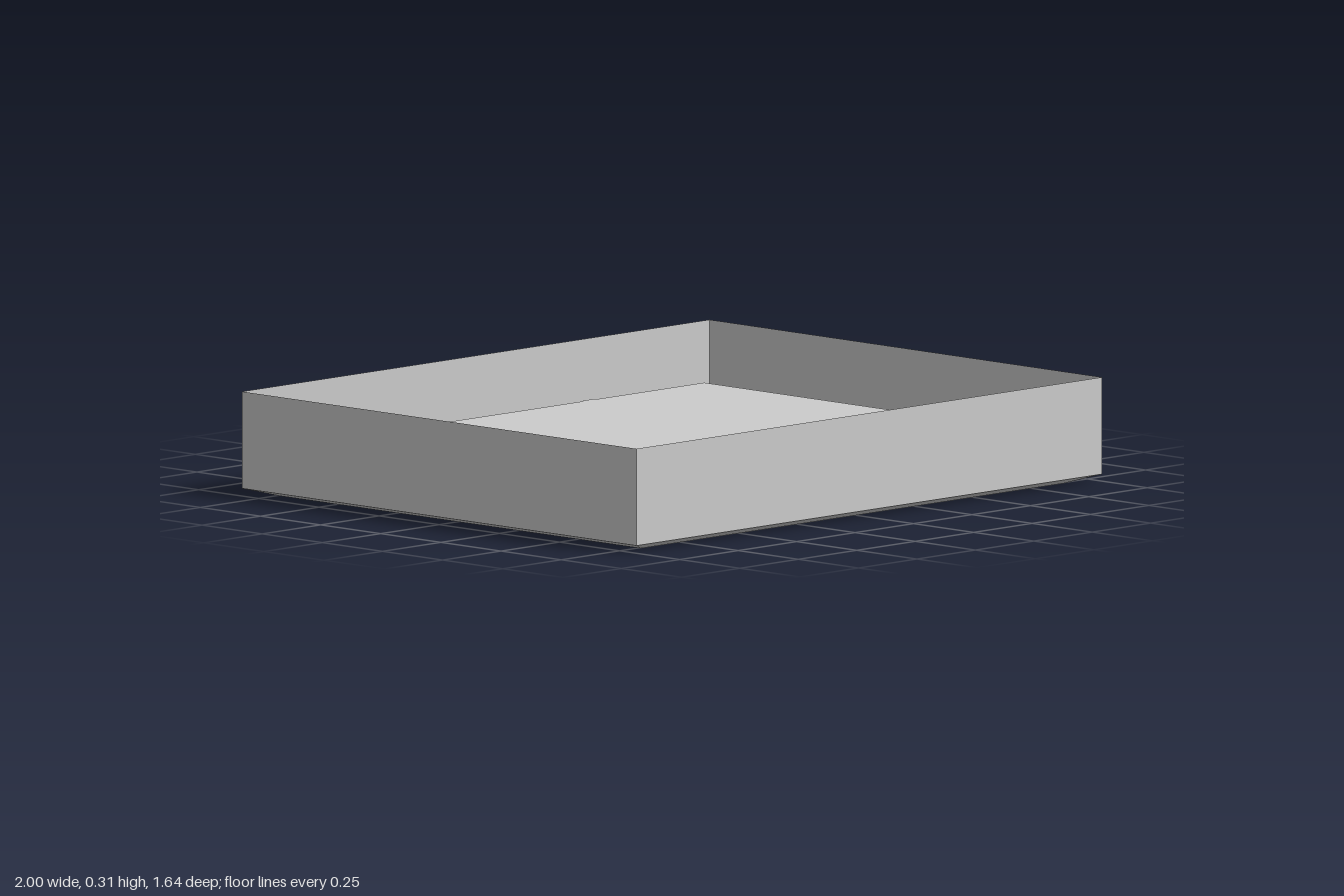
import * as THREE from 'three';

const FLOOR = 0.145, TIP = 0.07, CELL = 0.06;

// Four-cornered ring: [left, right at back, right at front, back, front, height]
const ring = ([x0, xb, xf, z0, z1, y]) => [
  [x0, y, z0], [xb, y, z0], [xf, y, z1], [x0, y, z1],
];

// Thin sheet joining consecutive rings, with an optional flat cap on the last ring
function sheet(name, specs, material, cap = false) {
  const rings = specs.map(ring), pos = [];
  const quad = (a, b, c, d) => pos.push(...a, ...b, ...c, ...a, ...c, ...d);
  for (let r = 0; r < rings.length - 1; r++) {
    for (let i = 0; i < 4; i++) {
      const j = (i + 1) % 4;
      quad(rings[r][i], rings[r][j], rings[r + 1][j], rings[r + 1][i]);
    }
  }
  if (cap) quad(...rings[rings.length - 1]);
  const geo = new THREE.BufferGeometry();
  geo.setAttribute('position', new THREE.Float32BufferAttribute(pos, 3));
  geo.computeVertexNormals();
  const mesh = new THREE.Mesh(geo, material);
  mesh.name = name;
  return mesh;
}

export function createModel() {
  const group = new THREE.Group();
  const material = new THREE.MeshStandardMaterial({
    color: 0xcccccc, flatShading: true, side: THREE.DoubleSide,
  });

  // Outer walls, shallow underside bevel and raised floor
  const top = [-1, 1, 0.992, -0.82, 0.82, 0.315];
  const base = [-1, 1, 0.992, -0.82, 0.82, 0.023];
  const mouth = [-0.92, 0.895, 0.888, -0.74, 0.76, 0];
  const inner = [-0.92, 0.895, 0.888, -0.74, 0.76, FLOOR];
  group.add(sheet('outerWalls', [top, base], material));
  group.add(sheet('undersideBevel', [base, mouth], material));
  group.add(sheet('recessedFloor', [mouth, inner], material, true));

  // Blocks hanging under the floor
  const blocks = new THREE.Group();
  blocks.name = 'undersideBlocks';
  const block = (x0, x1, z0, z1) => {
    const mesh = new THREE.Mesh(new THREE.BoxGeometry(x1 - x0, FLOOR - TIP, z1 - z0), material);
    mesh.position.set((x0 + x1) / 2, (FLOOR + TIP) / 2 - 0.0005, (z0 + z1) / 2);
    mesh.name = 'block';
    blocks.add(mesh);
  };

  // Long bars along z: [x of the left face, z start, z end]
  [
    [0.56, -0.57, -0.21], [-0.02, -0.56, -0.32], [-0.45, -0.57, -0.09],
    [-0.16, 0.04, 0.57], [0.13, -0.1, 0.16], [-0.62, 0.1, 0.5], [-0.81, -0.1, 0.29],
  ].forEach(([x, z0, z1]) => block(x - CELL, x, z0, z1));

  // Arms along x: [x start, x end, z centre]
  [
    [0.56, 0.78, -0.24], [-0.45, -0.2, -0.12], [-0.16, 0.19, 0.54], [-0.62, -0.4, 0.47],
    [0.04, 0.2, -0.17], [-0.43, -0.28, 0.29], [-0.87, -0.75, -0.08], [0.13, 0.28, 0.13],
  ].forEach(([x0, x1, z]) => block(x0, x1, z - CELL / 2, z + CELL / 2));

  // Short blocks: [x of the left face, z centre]
  [
    [0.41, -0.46], [0.265, -0.53], [0.11, -0.53], [0.04, -0.63], [-0.17, -0.58],
    [-0.32, -0.51], [-0.6, -0.53], [0.33, -0.09], [0.59, -0.04], [0.75, -0.05],
    [0.32, 0.16], [0.44, 0.3], [0.66, 0.23], [0.8, 0.25], [0.56, 0.58], [0.41, 0.49],
    [0.23, 0.45], [0.14, 0.4], [0.42, 0.7], [0.76, 0.58], [0.32, 0.31], [-0.18, 0.73],
    [-0.41, 0.15], [-0.36, -0.02], [-0.62, 0.71], [-0.78, 0.7], [-0.79, 0.47],
    [0.435, -0.7],
  ].forEach(([x, z]) => block(x - CELL * 0.8, x, z - 0.05, z + 0.05));
  group.add(blocks);

  return group;
}
